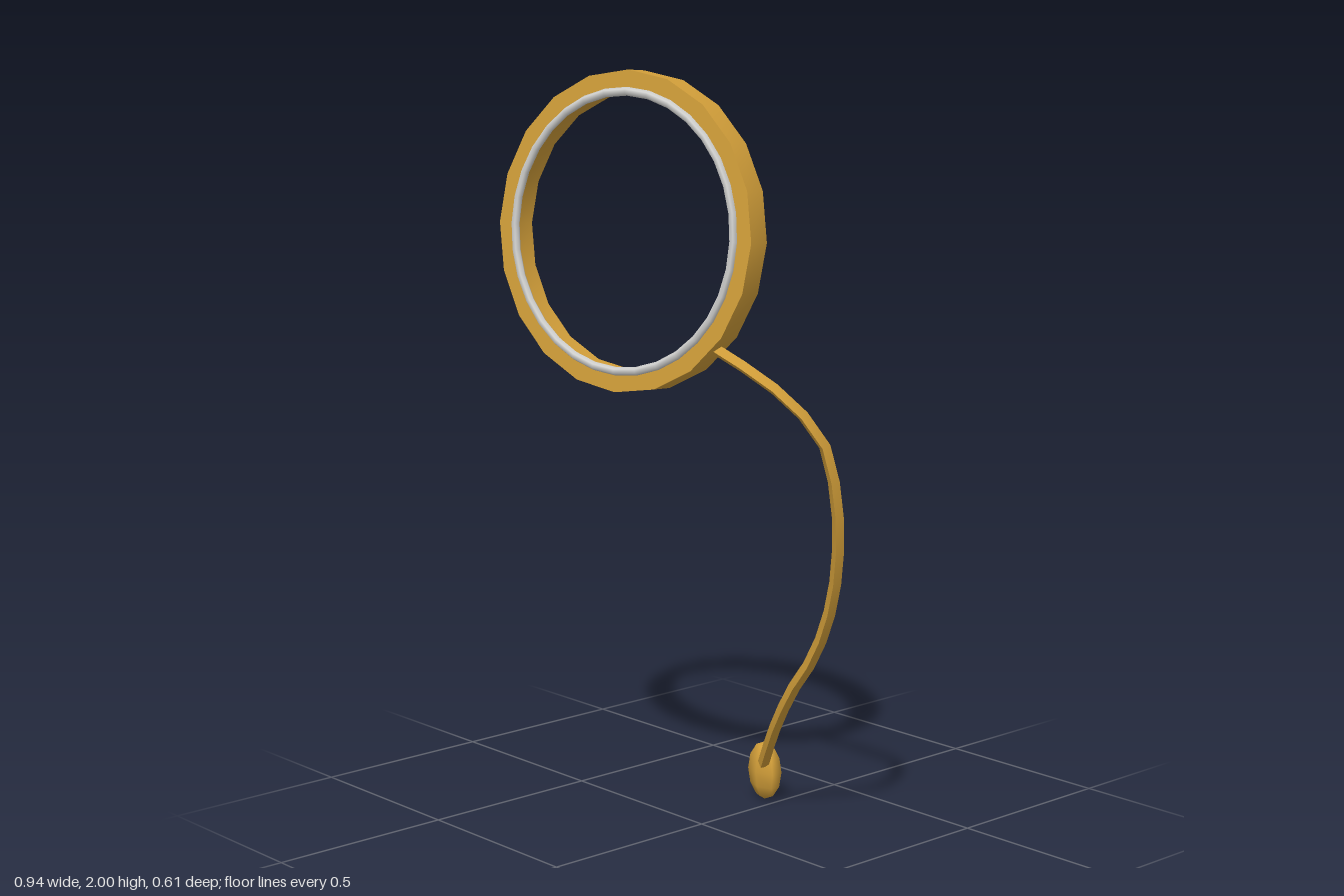
import * as THREE from 'three';
import { toCreasedNormals } from 'three/addons/utils/BufferGeometryUtils.js';

export function createModel() {
  const gold = new THREE.MeshStandardMaterial({ color: 0xd4a03a });
  gold.name = 'gold';
  const silver = new THREE.MeshStandardMaterial({ color: 0xd2d2d0 });
  silver.name = 'silver';

  const model = new THREE.Group();
  model.name = 'eyeglass';
  const add = (parent, name, geometry, material) => {
    const mesh = new THREE.Mesh(geometry, material);
    mesh.name = name;
    parent.add(mesh);
    return mesh;
  };

  // Lens frame: a tilted, turned ring with a rectangular section
  const frame = new THREE.Group();
  frame.name = 'lensFrame';
  frame.position.set(-0.065, 1.595, 0.188);
  frame.rotation.set(-0.076, 0.183, 0, 'YXZ');
  model.add(frame);

  const inner = 0.352, outer = 0.406, half = 0.0325;
  const section = [[inner, -half], [outer, -half], [outer, half], [inner, half], [inner, -half]]
    .map(([r, y]) => new THREE.Vector2(r, y));
  const ring = new THREE.LatheGeometry(section, 20).rotateX(Math.PI / 2);
  add(frame, 'outerRing', toCreasedNormals(ring, 0.6), gold);

  // Thin bead of metal round the front of the opening
  const trim = add(frame, 'innerTrim', new THREE.TorusGeometry(inner, 0.011, 6, 32), silver);
  trim.position.z = half;

  // Cord: a square section swept along a curve from ring to bead
  const path = new THREE.CatmullRomCurve3([
    [0.21, 1.33, 0.157], [0.335, 1.255, 0.1], [0.405, 1.19, 0.055], [0.447, 1.1, 0],
    [0.455, 1.0, -0.03], [0.443, 0.866, -0.06], [0.403, 0.715, -0.09], [0.345, 0.59, -0.115],
    [0.28, 0.485, -0.13], [0.196, 0.385, -0.143], [0.09, 0.25, -0.182], [-0.025, 0.11, -0.25],
  ].map((p) => new THREE.Vector3(...p)));
  const cord = new THREE.TubeGeometry(path, 16, 0.016, 4);
  add(model, 'cord', toCreasedNormals(cord, 0.6), gold);

  // Flattened six-sided bead at the end of the cord
  const bead = add(model, 'endBead', new THREE.SphereGeometry(1, 6, 6).rotateY(Math.PI / 2), gold);
  bead.geometry.rotateY(Math.PI);
  bead.scale.set(0.056, 0.082, 0.034);
  bead.position.set(-0.042, 0.083, -0.272);

  return model;
}
